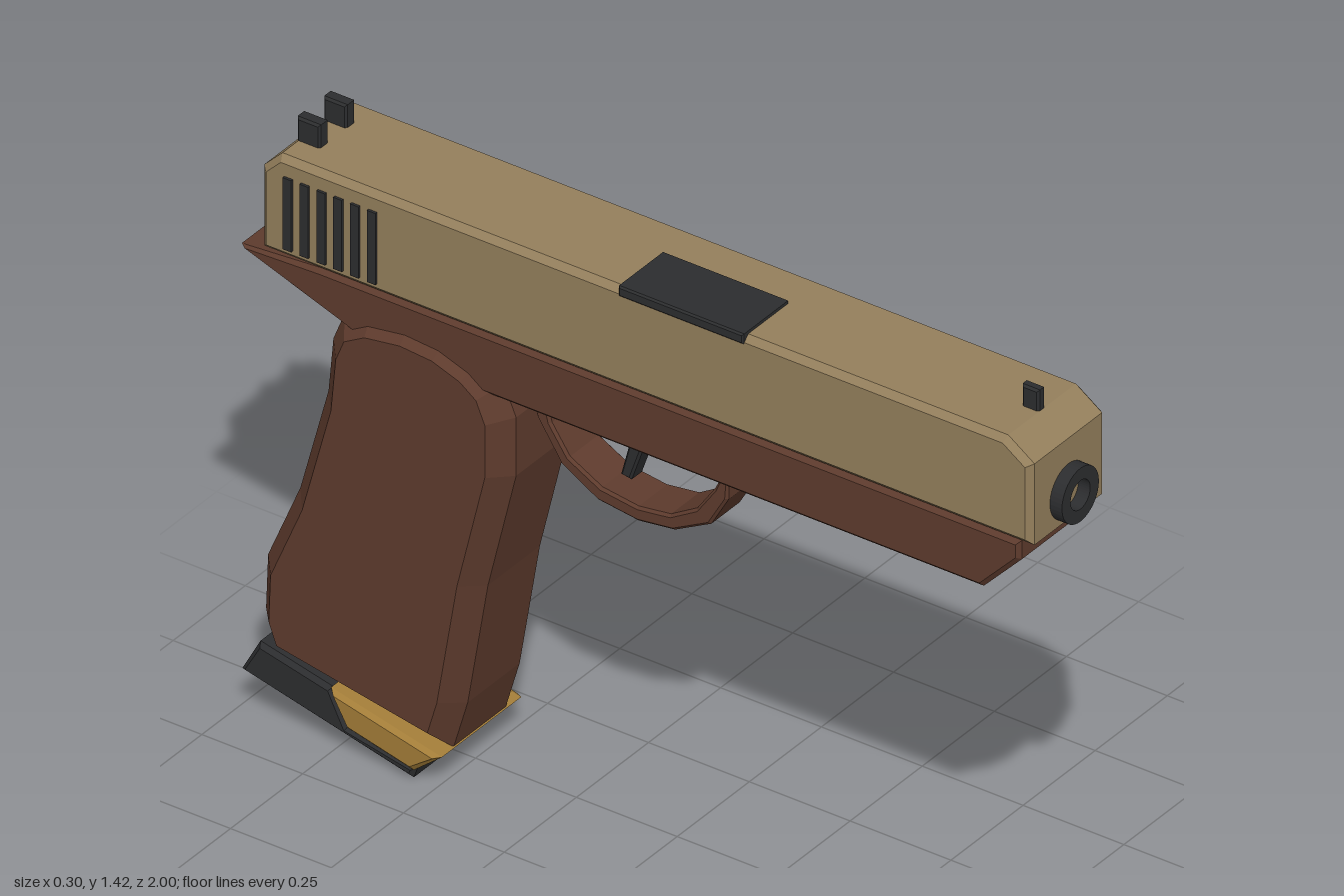
import * as THREE from 'three';

export function createModel() {
  const model = new THREE.Group();
  model.name = 'pistol';

  const material = (name, color) => {
    const m = new THREE.MeshStandardMaterial({ color });
    m.name = name;
    return m;
  };
  const brown = material('brown grip', 0x5e3b2d);
  const tan = material('tan slide', 0x947f5c);
  const black = material('black steel', 0x2c2d2f);
  const gold = material('gold trim', 0xa27c38);

  const add = (name, geometry, mat) => {
    const mesh = new THREE.Mesh(geometry, mat);
    mesh.name = name;
    model.add(mesh);
    return mesh;
  };

  // Side profile of [z, y] points, extruded across x to a full width with chamfered edges
  const sidePart = (name, points, width, mat, bevelSize = 0.012, bevelDepth = bevelSize) => {
    const shape = new THREE.Shape(points.map(([z, y]) => new THREE.Vector2(z, y)));
    const depth = width - 2 * bevelDepth;
    const geometry = new THREE.ExtrudeGeometry(shape, {
      depth, bevelEnabled: true, bevelSegments: 1,
      bevelSize, bevelThickness: bevelDepth, bevelOffset: -bevelSize,
    });
    geometry.translate(0, 0, -depth / 2);
    geometry.rotateY(-Math.PI / 2);
    return add(name, geometry, mat);
  };

  // Chamfered block given by its limits on each axis
  const block = (name, [x0, x1], [y0, y1], [z0, z1], mat, bevel = 0.005) => {
    const mesh = sidePart(name, [[z0, y0], [z1, y0], [z1, y1], [z0, y1]], x1 - x0, mat, bevel);
    mesh.position.x = (x0 + x1) / 2;
    return mesh;
  };

  // Slide and the rail that joins it to the frame
  sidePart('slide', [
    [0.97, 1.13], [0.97, 1.325], [0.905, 1.37], [-0.895, 1.37], [-0.94, 1.325], [-0.94, 1.13],
  ], 0.262, tan, 0.014);
  add('slideRail', new THREE.BoxGeometry(0.2, 0.04, 1.8).translate(0, 1.125, 0.02), tan);

  // Frame with the pointed tang at the back
  sidePart('frame', [
    [0.935, 1.125], [0.935, 1.08], [0.84, 0.98], [-0.66, 0.98],
    [-0.76, 1.018], [-1.0, 1.11], [-0.8, 1.125],
  ], 0.242, brown, 0.01);

  // Grip with wide chamfers
  sidePart('grip', [
    [-0.49, 0.08], [-0.455, 0.2], [-0.405, 0.5], [-0.335, 0.79], [-0.335, 0.93],
    [-0.365, 1.0], [-0.42, 1.04], [-0.5, 1.068], [-0.59, 1.075], [-0.69, 1.06],
    [-0.76, 1.02], [-0.788, 0.95], [-0.8, 0.82], [-0.87, 0.56], [-0.95, 0.37],
    [-0.955, 0.24], [-0.925, 0.16],
  ], 0.28, brown, 0.042, 0.05);

  // Magazine base and its gold front
  sidePart('magazineBase', [
    [-0.55, 0.03], [-0.56, 0.002], [-0.985, 0.105], [-0.94, 0.187], [-0.76, 0.145], [-0.72, 0.065],
  ], 0.28, black, 0.01);
  sidePart('magazineTrim', [
    [-0.485, 0.082], [-0.555, 0.025], [-0.72, 0.065], [-0.76, 0.147],
  ], 0.298, gold, 0.012);

  // Trigger guard loop
  sidePart('triggerGuard', [
    [0.165, 0.985], [0.163, 0.9], [0.12, 0.825], [0.03, 0.777], [-0.06, 0.765],
    [-0.16, 0.778], [-0.25, 0.83], [-0.31, 0.92], [-0.33, 0.985],
    [-0.292, 0.985], [-0.275, 0.92], [-0.23, 0.855], [-0.15, 0.812], [-0.06, 0.8],
    [0.02, 0.811], [0.085, 0.85], [0.13, 0.915],
  ], 0.11, brown, 0.006);

  // Trigger
  sidePart('trigger', [
    [-0.068, 0.985], [-0.073, 0.91], [-0.1, 0.832], [-0.126, 0.836], [-0.104, 0.92], [-0.106, 0.985],
  ], 0.045, black, 0.005);

  // Muzzle ring
  const ring = new THREE.Shape().absarc(0, 0, 0.064, 0, Math.PI * 2);
  ring.holes.push(new THREE.Path().absarc(0, 0, 0.034, 0, Math.PI * 2, true));
  add('muzzleRing', new THREE.ExtrudeGeometry(ring, { depth: 0.04, bevelEnabled: false, curveSegments: 20 })
    .translate(0, 1.2, 0.96), black);

  // Sights
  block('frontSight', [-0.012, 0.012], [1.36, 1.42], [0.862, 0.905], black);
  for (const side of [-1, 1]) {
    const x = side * 0.046;
    block('rearSight', [x - 0.016, x + 0.016], [1.36, 1.425], [-0.9, -0.842], black);
  }

  // Ejection port cover on the top edge
  block('ejectionPort', [-0.135, 0.025], [1.352, 1.377], [-0.05, 0.26], black, 0.004);

  // Rear grip slots on both sides of the slide
  for (const side of [-1, 1]) {
    for (let i = 0; i < 6; i++) {
      add('slideSlot', new THREE.BoxGeometry(0.008, 0.172, 0.021)
        .translate(side * 0.133, 1.24, -0.661 - i * 0.0418), black);
    }
  }

  // Controls on the left side of the frame
  block('takedownButton', [0.1, 0.13], [1.083, 1.122], [0.19, 0.243], black);
  block('slideStop', [0.1, 0.132], [1.095, 1.128], [-0.11, 0.075], black);

  return model;
}
